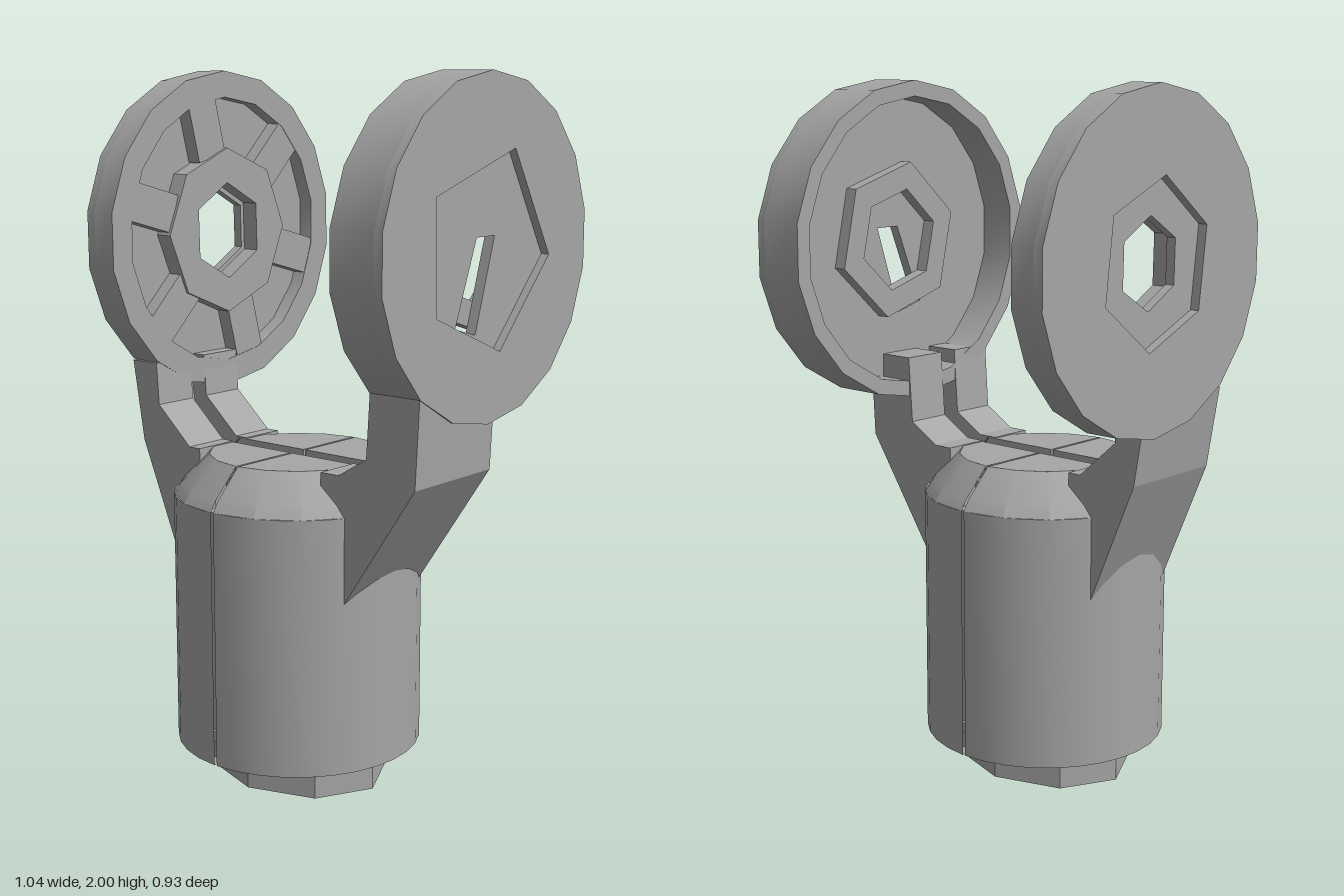
import * as THREE from 'three';
import { toCreasedNormals } from 'three/addons/utils/BufferGeometryUtils.js';

const CX = -0.035, CZ = 0.12;      // barrel axis
const DY = 1.54, DZ = -0.01;       // disc centre
const HALF = 0.165, SLOT = 0.028;  // half widths of the arms and of the centre slot

export function createModel() {
  const root = new THREE.Group();
  root.name = 'forkBracket';
  const grey = new THREE.MeshStandardMaterial({ color: 0xa6a6a6, side: THREE.DoubleSide });
  grey.name = 'grey';

  function add(parent, name, geo, crease = 0.5) {
    const mesh = new THREE.Mesh(toCreasedNormals(geo, crease), grey);
    mesh.name = name;
    parent.add(mesh);
    return mesh;
  }
  function group(name) {
    const g = new THREE.Group();
    g.name = name;
    root.add(g);
    return g;
  }
  const vecs = (pts) => pts.map(([a, b]) => new THREE.Vector2(a, b));
  // Regular polygon outline
  function ngon(n, ra, rb, cx = 0, cy = 0, turn = 0) {
    const pts = [];
    for (let i = 0; i < n; i++) {
      const a = turn + (i / n) * Math.PI * 2;
      pts.push([cx + Math.cos(a) * ra, cy + Math.sin(a) * rb]);
    }
    return pts;
  }
  function extrude(outline, depth, hole) {
    const shape = new THREE.Shape(vecs(outline));
    if (hole) shape.holes.push(new THREE.Path(vecs(hole)));
    return new THREE.ExtrudeGeometry(shape, { depth, bevelEnabled: false });
  }
  // Plate drawn in (z, y), filling x0..x1
  const slabX = (outline, x0, x1, hole) =>
    extrude(outline, x1 - x0, hole).rotateY(-Math.PI / 2).translate(x1, 0, 0);
  // Plate drawn in (x, z), filling y0..y1
  const slabY = (outline, y0, y1, hole) =>
    extrude(outline, y1 - y0, hole).rotateX(Math.PI / 2).translate(0, y1, 0);
  // Plate drawn in (x, y), filling z0..z1
  const slabZ = (outline, z0, z1) => extrude(outline, z1 - z0).translate(0, 0, z0);

  // Barrel: two half shells with a narrow seam at front and back
  const barrel = group('barrel');
  barrel.position.set(CX, 0, CZ);
  const gap = 0.012;
  for (const start of [0, Math.PI]) {
    const wall = vecs([[0.35, 0.12], [0.35, 0.84], [0.31, 0.84], [0.31, 0.12], [0.35, 0.12]]);
    add(barrel, 'halfShell', new THREE.LatheGeometry(wall, 16, start + gap, Math.PI - 2 * gap));
  }
  // Chamfered shoulder and flat top, in quarters around the seam and slot
  const slotAngle = 0.09;
  for (let q = 0; q < 4; q++) {
    const a0 = q * Math.PI / 2 + (q % 2 ? slotAngle : gap);
    const a1 = (q + 1) * Math.PI / 2 - (q % 2 ? gap : slotAngle);
    const slope = vecs([[0.35, 0.84], [0.33, 0.87], [0.25, 0.95]]);
    add(barrel, 'shoulder', new THREE.LatheGeometry(slope, 4, a0, a1 - a0), 0.3);
    const sx = q < 2 ? 1 : -1, sz = q === 0 || q === 3 ? 1 : -1;
    const cap = [[0.004, SLOT]];
    for (let i = 0; i <= 4; i++) {
      const a = 0.11 + (i / 4) * (Math.PI / 2 - 0.126);
      cap.push([Math.cos(a) * 0.25, Math.sin(a) * 0.25]);
    }
    add(barrel, 'top', slabY(cap.map(([x, z]) => [x * sx, z * sz]), 0.91, 0.95));
  }

  // Underside: recessed floor, neck and the nut below
  const base = group('base');
  base.position.set(CX, 0, CZ);
  add(base, 'floor', slabY(ngon(24, 0.32, 0.32), 0.17, 0.2, ngon(8, 0.1, 0.1)));
  add(base, 'neck', slabY(ngon(8, 0.2, 0.18), 0.05, 0.18, ngon(6, 0.105, 0.1)));
  add(base, 'nut', slabY(ngon(8, 0.275, 0.22), 0.012, 0.075, ngon(6, 0.17, 0.15)), 0.2);
  add(base, 'nutLip', slabY(ngon(8, 0.23, 0.19), 0, 0.012, ngon(6, 0.17, 0.15)), 0.2);
  for (let i = 0; i < 6; i++) {
    const fin = new THREE.BoxGeometry(0.14, 0.06, 0.03).translate(0.25, 0.15, 0);
    add(base, 'fin', fin.rotateY(i * Math.PI / 3 + 0.3));
  }

  // Arms: two ribs beside the slot, closed by a skin on the outside
  function arm(name, rib, skin) {
    const g = group(name);
    add(g, 'backRib', slabZ(rib, CZ - HALF, CZ - SLOT), 0.2);
    add(g, 'frontRib', slabZ(rib, CZ + SLOT, CZ + HALF), 0.2);
    add(g, 'skin', slabZ(skin, CZ - SLOT, CZ + SLOT), 0.2);
  }
  arm('leftArm',
    [[0.27, 0.6], [0.505, 0.95], [0.518, 1.2], [0.357, 1.2], [0.345, 1.01], [0.25, 0.953], [0.19, 0.953], [0.19, 0.9], [0.26, 0.83]],
    [[0.27, 0.6], [0.505, 0.95], [0.518, 1.2], [0.47, 1.2], [0.46, 0.97], [0.27, 0.68]]);
  arm('rightArm',
    [[-0.34, 0.6], [-0.485, 0.95], [-0.523, 1.18], [-0.428, 1.18], [-0.42, 1.06], [-0.3, 0.953], [-0.26, 0.953], [-0.26, 0.9], [-0.33, 0.83]],
    [[-0.34, 0.6], [-0.485, 0.95], [-0.523, 1.18], [-0.49, 1.18], [-0.455, 0.96], [-0.34, 0.7]]);

  const disc = ngon(18, 0.46, 0.46, DZ, DY, 0.17);
  const ring = (n, r, turn = 0) => ngon(n, r, r, DZ, DY, turn);

  // Left disc: a deep cup open inward, with a five-sided recess outside
  const left = group('leftDisc');
  const pentagon = [[0.23, 1.69], [-0.115, 1.8], [-0.285, 1.51], [-0.06, 1.27], [0.22, 1.385]];
  const slot = [[0.02, 1.575], [-0.06, 1.575], [0.02, 1.32], [0.11, 1.345]];
  add(left, 'rim', slabX(disc, 0.355, 0.495, ring(18, 0.415, 0.17)));
  add(left, 'face', slabX(disc, 0.495, 0.52, pentagon));
  add(left, 'floor', slabX(ring(18, 0.44), 0.465, 0.496, slot));
  add(left, 'boss', slabX(ring(6, 0.23, 0.3), 0.425, 0.466, ring(6, 0.15, 0.3)), 0.2);

  // Right disc: thin, with a six-sided opening and a ribbed inner side
  const right = group('rightDisc');
  add(right, 'face', slabX(disc, -0.525, -0.497, ring(6, 0.23, 0.4)));
  add(right, 'web', slabX(ring(18, 0.44), -0.498, -0.47, ring(6, 0.125, 0.5)));
  add(right, 'rim', slabX(disc, -0.497, -0.425, ring(18, 0.385, 0.17)));
  add(right, 'hub', slabX(ring(8, 0.24), -0.471, -0.418, ring(6, 0.14, 0.5)), 0.2);
  for (let i = 0; i < 6; i++) {
    const spoke = new THREE.BoxGeometry(0.045, 0.18, 0.11).translate(0, 0.31, 0);
    spoke.rotateX(i * Math.PI / 3 + 0.25).translate(-0.449, DY, DZ);
    add(right, 'spoke', spoke);
  }
  return root;
}
